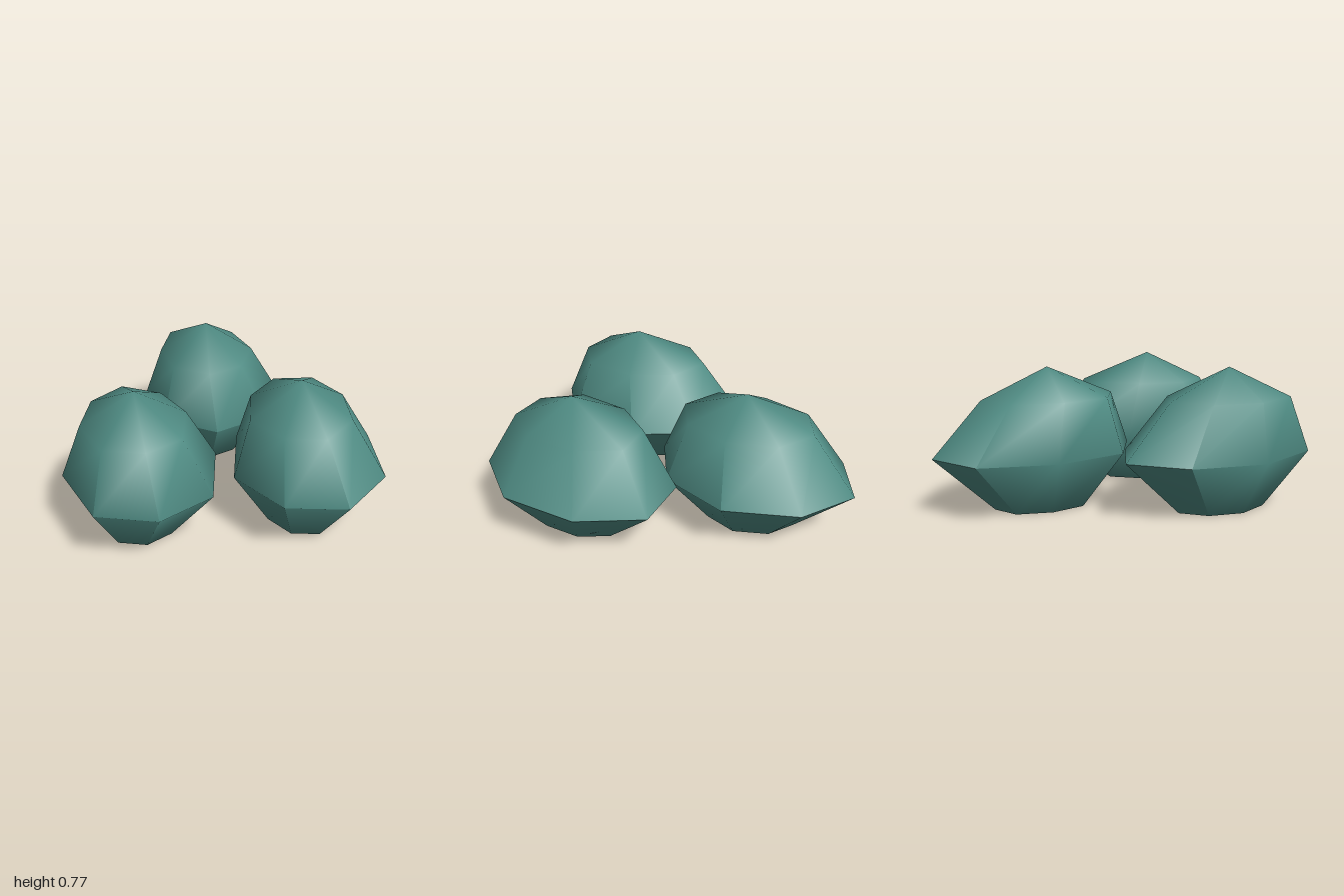
import * as THREE from 'three';
import { toCreasedNormals } from 'three/addons/utils/BufferGeometryUtils.js';

// Each stone: its widest outline (x, z) clockwise from above, and the centres of its other rings
const STONES = [
  {
    name: 'backStone', mid: [0.02, -0.43], base: [0, -0.395], shoulder: [-0.02, -0.36], peak: [-0.02, -0.36],
    outline: [[0.01, -1], [0.29, -0.8], [0.42, -0.4], [0.29, -0.02], [0, 0.14], [-0.29, -0.03], [-0.38, -0.44], [-0.28, -0.85]],
  },
  {
    name: 'frontRightStone', mid: [-0.43, 0.43], base: [-0.45, 0.47], shoulder: [-0.455, 0.5], peak: [-0.45, 0.53],
    outline: [[-0.52, -0.13], [-0.21, 0.02], [-0.03, 0.37], [-0.08, 0.8], [-0.35, 0.99], [-0.66, 0.92], [-0.83, 0.53], [-0.76, 0.12]],
  },
  {
    name: 'frontLeftStone', mid: [0.435, 0.44], base: [0.42, 0.47], shoulder: [0.385, 0.46], peak: [0.4, 0.48],
    outline: [[0.33, -0.1], [0.65, -0.09], [0.83, 0.25], [0.81, 0.69], [0.56, 0.97], [0.25, 0.93], [0.04, 0.63], [0.1, 0.2]],
  },
];

// Lofts scaled copies of the outline from the flat base up to the peak
function stoneGeometry({ outline, mid, base, shoulder, peak }) {
  const ring = (y, scale, centre) => outline.map(([x, z]) => [
    centre[0] + (x - mid[0]) * scale, y, centre[1] + (z - mid[1]) * scale,
  ]);
  const rings = [
    ring(0, 0, base),
    ring(0, 0.475, base),
    ring(0.31, 1, mid),
    ring(0.61, 0.665, shoulder),
    ring(0.77, 0, peak),
  ];
  const positions = [];
  for (let r = 0; r < rings.length - 1; r++) {
    const lower = rings[r], upper = rings[r + 1];
    for (let i = 0; i < outline.length; i++) {
      const j = (i + 1) % outline.length;
      if (r > 0) positions.push(...lower[j], ...lower[i], ...upper[i]);
      if (r < rings.length - 2) positions.push(...lower[j], ...upper[i], ...upper[j]);
    }
  }
  const geometry = new THREE.BufferGeometry();
  geometry.setAttribute('position', new THREE.Float32BufferAttribute(positions, 3));
  return toCreasedNormals(geometry, 1.1);
}

export function createModel() {
  const group = new THREE.Group();
  group.name = 'stoneCluster';
  const material = new THREE.MeshStandardMaterial({ color: 0x4f8b83 });
  for (const stone of STONES) {
    const mesh = new THREE.Mesh(stoneGeometry(stone), material);
    mesh.name = stone.name;
    group.add(mesh);
  }
  return group;
}
